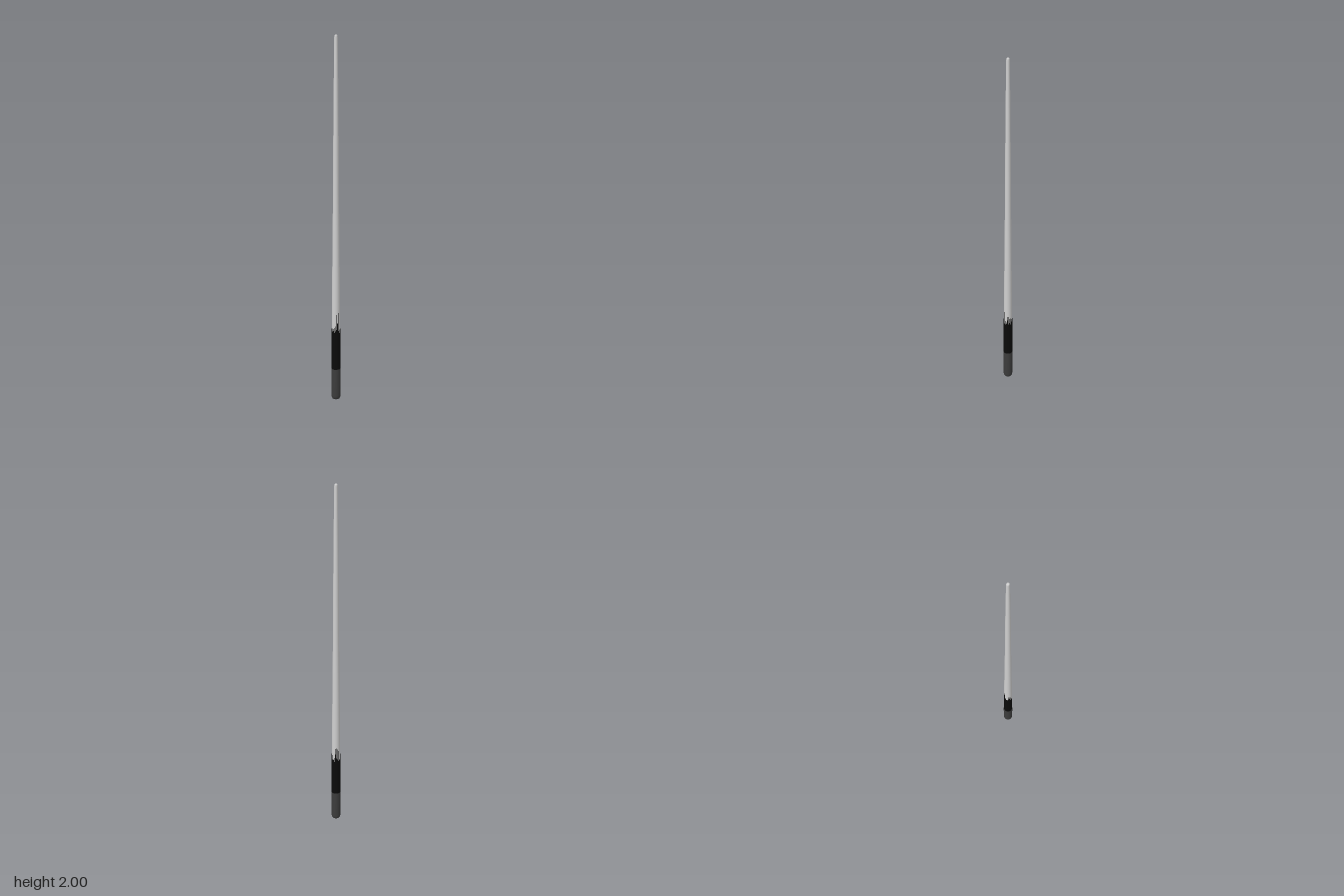
import * as THREE from 'three';

const SIDES = 20;
const profile = [[0.0245, 0.18], [0.0235, 0.4], [0.022, 0.6], [0.016, 1.2], [0.0145, 1.47], [0.012, 1.75], [0.009, 1.99]];

// Shaft radius at a height
function radiusAt(y) {
  for (let i = 1; i < profile.length; i++) {
    const [r0, y0] = profile[i - 1], [r1, y1] = profile[i];
    if (y <= y1) return r0 + (r1 - r0) * (y - y0) / (y1 - y0);
  }
  return profile[profile.length - 1][0];
}

function lathe(name, points, material) {
  const geometry = new THREE.LatheGeometry(points.map(([r, y]) => new THREE.Vector2(r, y)), SIDES);
  const mesh = new THREE.Mesh(geometry, material);
  mesh.name = name;
  return mesh;
}

export function createModel() {
  const group = new THREE.Group();
  group.name = 'cue';
  const shaftGrey = new THREE.MeshStandardMaterial({ color: 0xcfcfcf });
  shaftGrey.name = 'shaft grey';
  const black = new THREE.MeshStandardMaterial({ color: 0x0a0a0a, side: THREE.DoubleSide });
  black.name = 'inlay black';
  const rubber = new THREE.MeshStandardMaterial({ color: 0x3c3c3c });
  rubber.name = 'butt dark grey';

  // Tapering shaft with a softly rounded tip
  group.add(lathe('shaft', [...profile, [0.0075, 1.998], [0.006, 2], [0, 2]], shaftGrey));

  // Butt with rounded foot
  group.add(lathe('butt', [[0, 0], [0.015, 0], [0.021, 0.004], [0.0248, 0.012], [0.026, 0.024],
    [0.0262, 0.1], [0.026, 0.18], [0.0245, 0.181]], rubber));

  // Black sleeve around the lower shaft
  const lift = 0.0007, top = 0.39;
  group.add(lathe('sleeve', [[radiusAt(0.18) + lift, 0.18], [radiusAt(top) + lift, top]], black));

  // Uneven pointed inlays rising from the sleeve
  const heights = [0.53, 0.43, 0.47, 0.42, 0.51, 0.44, 0.41, 0.49, 0.43, 0.46];
  const positions = [];
  const put = (angle, y) => {
    const r = radiusAt(y) + lift;
    positions.push(Math.sin(angle) * r, y, Math.cos(angle) * r);
  };
  for (let i = 0; i < SIDES; i++) {
    const a = i / SIDES * Math.PI * 2, b = (i + 1) / SIDES * Math.PI * 2;
    put(a, top);
    put(b, top);
    put((a + b) / 2, heights[(i * 3) % heights.length]);
  }
  const points = new THREE.BufferGeometry();
  points.setAttribute('position', new THREE.Float32BufferAttribute(positions, 3));
  points.computeVertexNormals();
  const inlays = new THREE.Mesh(points, black);
  inlays.name = 'pointedInlays';
  group.add(inlays);

  return group;
}
